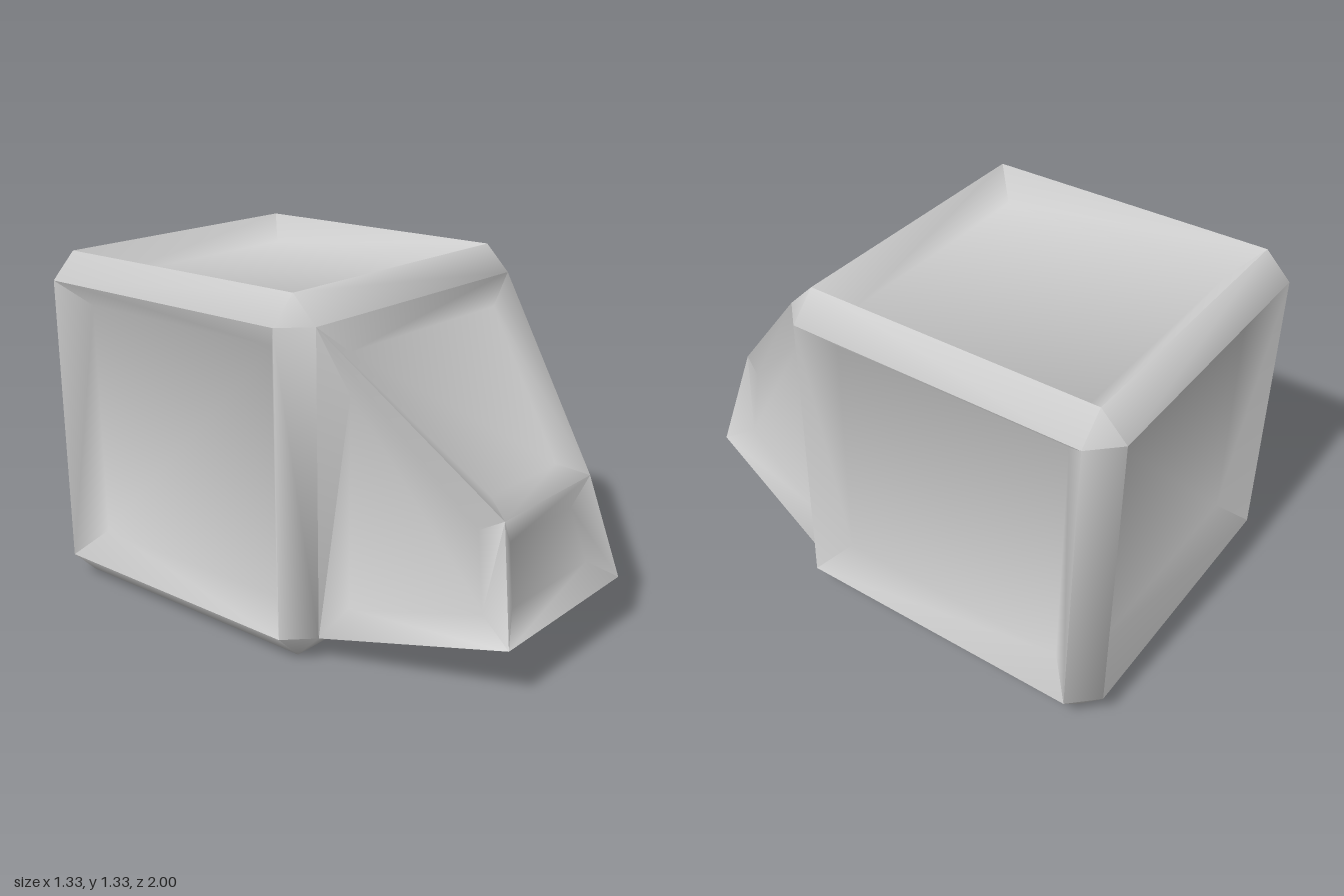
import * as THREE from 'three';
import { toCreasedNormals } from 'three/addons/utils/BufferGeometryUtils.js';

const V = (x, y, z) => new THREE.Vector3(x, y, z);

// Adds a polygon as a fan, turned so that it faces away from the centre
function addFace(out, pts, centre) {
  const normal = V(0, 0, 0);
  pts.forEach((p, i) => normal.add(p.clone().cross(pts[(i + 1) % pts.length])));
  const flip = normal.dot(pts[0].clone().sub(centre)) < 0;
  for (let i = 1; i < pts.length - 1; i++) {
    const tri = flip ? [pts[0], pts[i + 1], pts[i]] : [pts[0], pts[i], pts[i + 1]];
    tri.forEach((p) => out.push(p.x, p.y, p.z));
  }
}

// Adds a panel with a sloping rim and a sunken floor
function addPanel(out, pts, centre, inset, depth) {
  const n = pts.length;
  const normal = V(0, 0, 0);
  pts.forEach((p, i) => normal.add(p.clone().cross(pts[(i + 1) % n])));
  normal.normalize();
  if (normal.dot(pts[0].clone().sub(centre)) < 0) normal.negate();
  const inner = pts.map((p, i) => {
    const a = pts[(i + 1) % n].clone().sub(p).normalize();
    const b = pts[(i + n - 1) % n].clone().sub(p).normalize();
    const s = a.clone().cross(b).length();
    return p.clone().addScaledVector(a.add(b), inset / s).addScaledVector(normal, -depth);
  });
  pts.forEach((p, i) => {
    const j = (i + 1) % n;
    addFace(out, [p, pts[j], inner[j], inner[i]], centre);
  });
  addFace(out, inner, centre);
}

function makeMesh(name, positions) {
  const geo = new THREE.BufferGeometry();
  geo.setAttribute('position', new THREE.Float32BufferAttribute(positions, 3));
  const mesh = new THREE.Mesh(toCreasedNormals(geo, 1.46), new THREE.MeshStandardMaterial({ color: 0xcccccc }));
  mesh.name = name;
  return mesh;
}

// Chamfered cube with sunken panels, open where the nose joins
function makeBody() {
  const out = [];
  const H = 0.667, K = 0.567;
  const centre = V(0, 0.667, -0.333);
  const at = (values) => V(...values).add(centre);
  const signs = [-1, 1];

  for (let a = 0; a < 3; a++) {
    const b = (a + 1) % 3, c = (a + 2) % 3;
    const point = (va, vb, vc) => {
      const v = [0, 0, 0];
      v[a] = va; v[b] = vb; v[c] = vc;
      return at(v);
    };
    for (const s of signs) {
      // Sunken panels
      if (!(a === 2 && s === 1)) {
        addPanel(out, [[-K, -K], [K, -K], [K, K], [-K, K]].map(([p, q]) => point(s * H, p, q)), centre, 0.1, 0.1);
      }
      // Chamfered edges running along the third axis
      for (const t of signs) {
        addFace(out, [point(s * H, t * K, -K), point(s * H, t * K, K),
          point(s * K, t * H, K), point(s * K, t * H, -K)], centre);
      }
    }
  }
  // Corner triangles
  for (const x of signs) for (const y of signs) for (const z of signs) {
    addFace(out, [at([x * H, y * K, z * K]), at([x * K, y * H, z * K]), at([x * K, y * K, z * H])], centre);
  }
  return makeMesh('body', out);
}

// Tapered nose with sunken upper, front and side panels
function makeNose() {
  const out = [];
  const centre = V(0, 0.5, 0.45);
  const top = (s) => V(s * 0.567, 1.234, 0.334);
  const ridge = (s) => V(s * 0.28, 0.61, 0.905);
  const tip = (s) => V(s * 0.372, 0.2, 1);
  const base = (s) => V(s * 0.567, 0.1, 0.334);

  addPanel(out, [top(-1), ridge(-1), ridge(1), top(1)], centre, 0.1, 0.05);
  addPanel(out, [ridge(-1), tip(-1), tip(1), ridge(1)], centre, 0.1, 0.05);
  for (const s of [-1, 1]) addPanel(out, [top(s), ridge(s), tip(s), base(s)], centre, 0.1, 0.05);
  addFace(out, [tip(-1), base(-1), base(1), tip(1)], centre);
  return makeMesh('nose', out);
}

export function createModel() {
  const group = new THREE.Group();
  group.name = 'panelledBlock';
  group.add(makeBody(), makeNose());
  return group;
}
